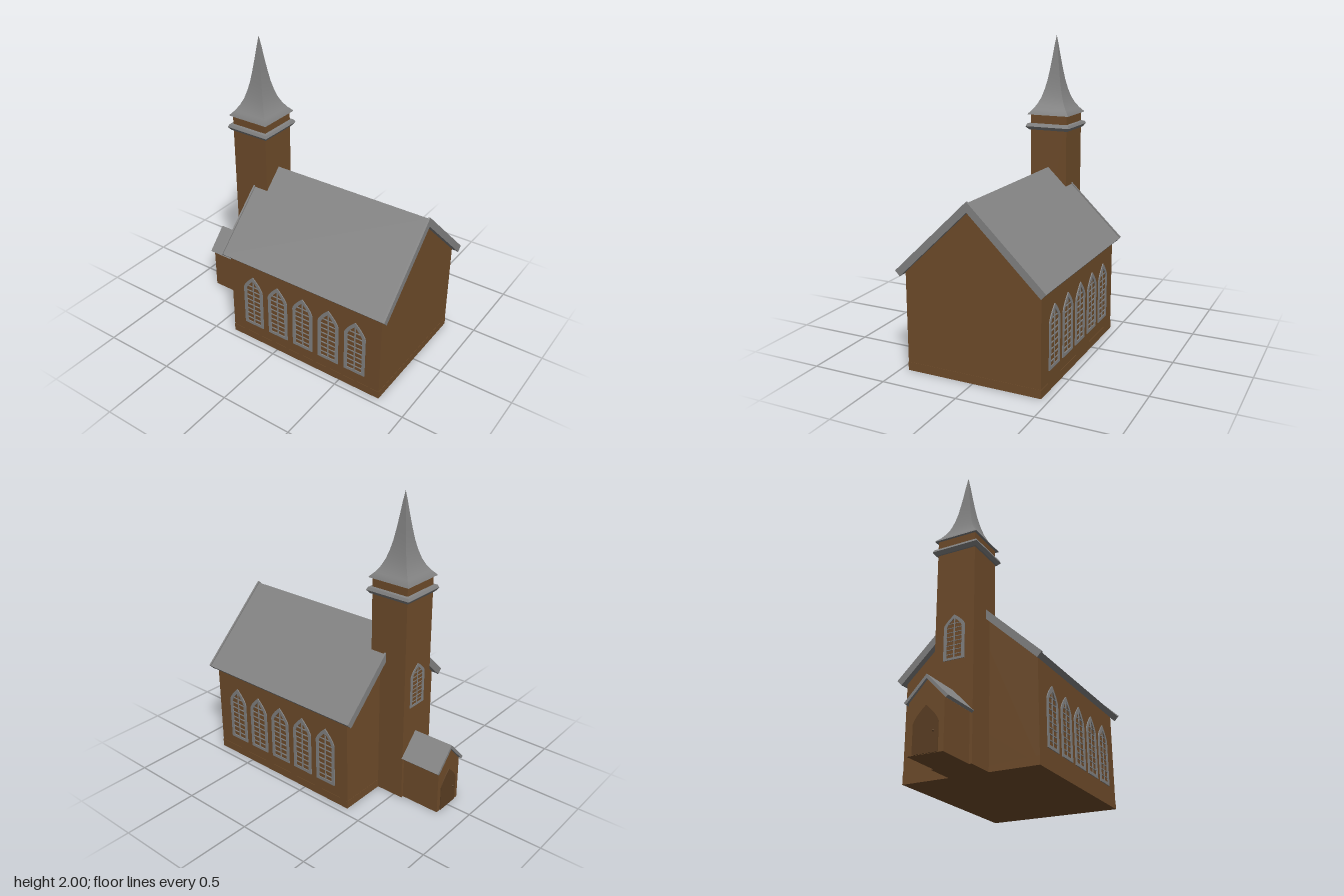
import * as THREE from 'three';
import { toCreasedNormals } from 'three/addons/utils/BufferGeometryUtils.js';

const brown = new THREE.MeshStandardMaterial({ color: 0x704d2b });
const darkBrown = new THREE.MeshStandardMaterial({ color: 0x5c3f23 });
const grey = new THREE.MeshStandardMaterial({ color: 0x838383 });

function add(parent, name, geometry, material, x = 0, y = 0, z = 0) {
  const mesh = new THREE.Mesh(geometry, material);
  mesh.name = name;
  mesh.position.set(x, y, z);
  parent.add(mesh);
  return mesh;
}

// Extrudes a (z, y) outline along x from x0 to x1
function extrudeAlongX(points, x0, x1) {
  const shape = new THREE.Shape(points.map(([z, y]) => new THREE.Vector2(z, y)));
  const geometry = new THREE.ExtrudeGeometry(shape, { depth: x1 - x0, bevelEnabled: false });
  return geometry.rotateY(Math.PI / 2).translate(x0, 0, 0);
}

// Gabled block: walls with a triangular top
function gableBlock(half, eave, apex, x0, x1) {
  return extrudeAlongX([[-half, 0], [half, 0], [half, eave], [0, apex], [-half, eave]], x0, x1);
}

// Pitched roof slab with square-cut eaves; apex and eave give the outer surface
function roofSlab(half, eave, apex, thickness, x0, x1) {
  const rise = apex - eave, length = Math.hypot(half, rise);
  const dz = thickness * rise / length, dy = thickness * half / length;
  const drop = thickness * length / half;
  return extrudeAlongX([[0, apex], [-half, eave], [-half + dz, eave - dy], [0, apex - drop],
    [half - dz, eave - dy], [half, eave]], x0, x1);
}

// Square turned part, sized by half width
function squareLathe(profile) {
  const points = profile.map(([w, y]) => new THREE.Vector2(w * Math.SQRT2, y));
  return toCreasedNormals(new THREE.LatheGeometry(points, 4, Math.PI / 4), 0.5);
}

// Pointed arch outline standing on y = base
function lancet(Outline, half, spring, top, base = 0) {
  const s = new Outline();
  const shoulder = spring + (top - spring) * 0.38;
  s.moveTo(-half, base);
  s.lineTo(half, base);
  s.lineTo(half, spring);
  s.quadraticCurveTo(half * 0.88, shoulder, 0, top);
  s.quadraticCurveTo(-half * 0.88, shoulder, -half, spring);
  s.closePath();
  return s;
}

// Lancet window: frame, mullion and glazing bars, facing +z
function createWindow(name) {
  const group = new THREE.Group();
  group.name = name;
  const outline = lancet(THREE.Shape, 0.077, 0.295, 0.395);
  outline.holes.push(lancet(THREE.Path, 0.055, 0.287, 0.364, 0.02));
  add(group, 'windowFrame',
    new THREE.ExtrudeGeometry(outline, { depth: 0.01, bevelEnabled: false, curveSegments: 6 }), grey, 0, 0, -0.005);
  add(group, 'mullion', new THREE.BoxGeometry(0.008, 0.36, 0.006), grey, 0, 0.195, 0.001);
  for (let i = 0; i < 8; i++) {
    const width = i < 7 ? 0.118 : 0.08;
    add(group, 'glazingBar', new THREE.BoxGeometry(width, 0.006, 0.006), grey, 0, 0.05 + i * 0.038, 0.001);
  }
  return group;
}

export function createModel() {
  const church = new THREE.Group();
  church.name = 'church';

  // Nave
  const nave = new THREE.Group();
  nave.name = 'nave';
  church.add(nave);
  add(nave, 'naveWalls', gableBlock(0.448, 0.637, 1.067, -0.368, 0.797), brown);
  add(nave, 'plinth', new THREE.BoxGeometry(1.168, 0.055, 0.899), brown, 0.2145, 0.0275, 0);
  add(nave, 'naveRoof', roofSlab(0.49, 0.647, 1.118, 0.036, -0.4, 0.828), grey);
  for (const x of [-0.412, 0.825]) {
    add(nave, 'verge', roofSlab(0.496, 0.652, 1.128, 0.046, x, x + 0.012), grey);
  }

  // Five windows on each long side
  for (const side of [1, -1]) {
    for (let i = 0; i < 5; i++) {
      const win = createWindow('naveWindow');
      win.position.set(-0.187 + i * 0.2, 0.128, side * 0.449);
      if (side < 0) win.rotation.y = Math.PI;
      nave.add(win);
    }
  }

  // Tower and spire
  const tower = new THREE.Group();
  tower.name = 'tower';
  tower.position.x = -0.43;
  church.add(tower);
  add(tower, 'towerWalls', new THREE.BoxGeometry(0.262, 1.475, 0.262), brown, 0, 0.7375, 0);
  add(tower, 'cornice', squareLathe([[0.125, 1.37], [0.142, 1.37], [0.158, 1.392],
    [0.15, 1.41], [0.125, 1.414]]), grey);
  add(tower, 'spire', squareLathe([[0, 1.472], [0.148, 1.472], [0.146, 1.478], [0.122, 1.505],
    [0.098, 1.54], [0.077, 1.585], [0.06, 1.64], [0.046, 1.7], [0.034, 1.77],
    [0.022, 1.85], [0.011, 1.93], [0, 2]]), grey);
  const towerWindow = createWindow('towerWindow');
  towerWindow.scale.set(0.92, 0.74, 1);
  towerWindow.position.set(-0.13, 0.64, 0);
  towerWindow.rotation.y = -Math.PI / 2;
  tower.add(towerWindow);

  // Porch
  const porch = new THREE.Group();
  porch.name = 'porch';
  church.add(porch);
  add(porch, 'porchWalls', gableBlock(0.113, 0.3, 0.42, -0.828, -0.55), brown);
  add(porch, 'porchRoof', roofSlab(0.14, 0.303, 0.45, 0.018, -0.84, -0.56), grey);
  const door = add(porch, 'door', new THREE.ExtrudeGeometry(lancet(THREE.Shape, 0.08, 0.17, 0.27),
    { depth: 0.006, bevelEnabled: false, curveSegments: 6 }), darkBrown, -0.827, 0.002, 0);
  door.rotation.y = -Math.PI / 2;
  add(porch, 'doorKnob', new THREE.SphereGeometry(0.006, 10, 8), darkBrown, -0.835, 0.12, 0.05);

  return church;
}
